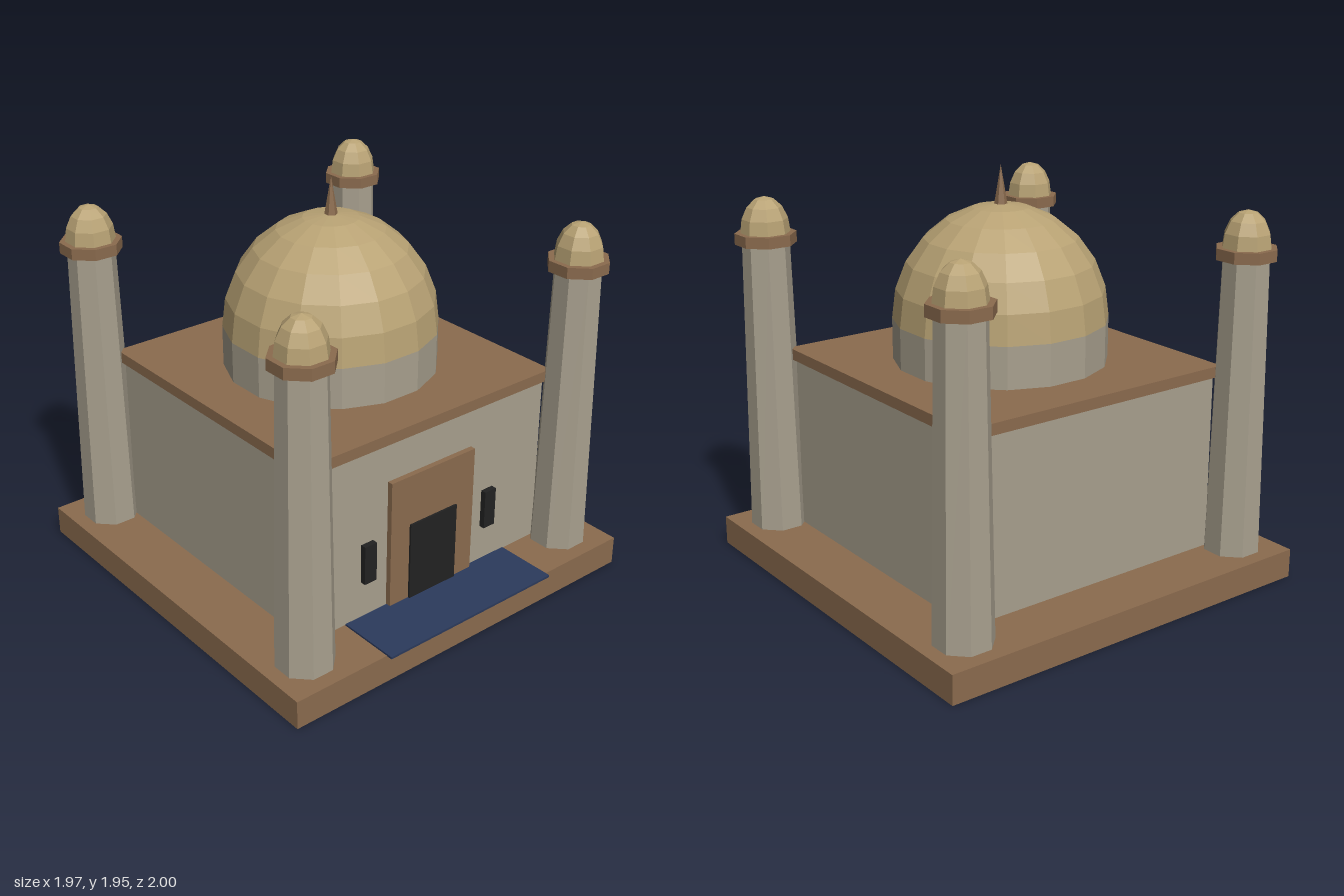
import * as THREE from 'three';

const mat = (name, color) => {
  const m = new THREE.MeshStandardMaterial({ color });
  m.name = name;
  m.flatShading = true;
  return m;
};

export function createModel() {
  const stone = mat('stone', 0xa8a08e);
  const brown = mat('brown', 0x8b6b4e);
  const gold = mat('gold', 0xb8a274);
  const dark = mat('dark', 0x222222);
  const blue = mat('blue', 0x2b3a5c);

  const model = new THREE.Group();
  model.name = 'domedBuilding';
  const CZ = -0.015; // the building sits slightly behind centre

  const add = (parent, name, geometry, material) => {
    const mesh = new THREE.Mesh(geometry, material);
    mesh.name = name;
    parent.add(mesh);
    return mesh;
  };
  // Box given by its minimum and maximum corners
  const box = (name, material, x0, x1, y0, y1, z0, z1) =>
    add(model, name, new THREE.BoxGeometry(x1 - x0, y1 - y0, z1 - z0), material)
      .position.set((x0 + x1) / 2, (y0 + y1) / 2, (z0 + z1) / 2);
  // Prism or cone from y0 to y1, turned so that a flat side faces front
  const prism = (parent, name, material, rBottom, rTop, y0, y1, sides) => {
    const mesh = add(parent, name, new THREE.CylinderGeometry(rTop, rBottom, y1 - y0, sides), material);
    mesh.position.y = (y0 + y1) / 2;
    mesh.rotation.y = Math.PI / sides;
  };
  // Half-sphere dome standing on y0
  const dome = (parent, name, radius, y0, height, sides, rows) => {
    const geo = new THREE.SphereGeometry(radius, sides, rows, 0, Math.PI * 2, 0, Math.PI / 2);
    geo.scale(1, height / radius, 1);
    const mesh = add(parent, name, geo, gold);
    mesh.position.y = y0;
    mesh.rotation.y = Math.PI / sides;
  };

  // Platform, walls and roof slab
  box('platform', brown, -0.985, 0.985, 0, 0.14, CZ - 0.985, CZ + 0.985);
  box('walls', stone, -0.7, 0.7, 0.13, 0.99, CZ - 0.7, CZ + 0.7);
  box('roof', brown, -0.725, 0.725, 0.99, 1.043, CZ - 0.725, CZ + 0.725);

  // Entrance, windows and carpet
  box('portal', brown, -0.25, 0.25, 0.13, 0.79, 0.66, 0.712);
  box('door', dark, -0.14, 0.14, 0.13, 0.54, 0.68, 0.722);
  for (const s of [-1, 1])
    box('window', dark, s * 0.367 - 0.034, s * 0.367 + 0.034, 0.33, 0.525, 0.67, 0.713);
  box('carpet', blue, -0.492, 0.492, 0.138, 0.149, 0.69, 1);

  // Main dome on its drum, with a spire
  const mainDome = new THREE.Group();
  mainDome.name = 'mainDome';
  mainDome.position.z = CZ;
  model.add(mainDome);
  prism(mainDome, 'drum', stone, 0.505, 0.505, 1.03, 1.24, 16);
  dome(mainDome, 'domeShell', 0.505, 1.24, 0.535, 16, 6);
  const spire = add(mainDome, 'spire', new THREE.ConeGeometry(0.034, 0.2, 6), brown);
  spire.position.y = 1.85;

  // Four corner towers
  for (const sx of [-1, 1]) for (const sz of [-1, 1]) {
    const tower = new THREE.Group();
    tower.name = 'cornerTower';
    tower.position.set(sx * 0.787, 0, CZ + sz * 0.787);
    model.add(tower);
    prism(tower, 'shaft', stone, 0.139, 0.112, 0.01, 1.56, 8);
    prism(tower, 'collar', brown, 0.145, 0.145, 1.552, 1.605, 8);
    dome(tower, 'cap', 0.117, 1.605, 0.17, 8, 4);
  }
  return model;
}
